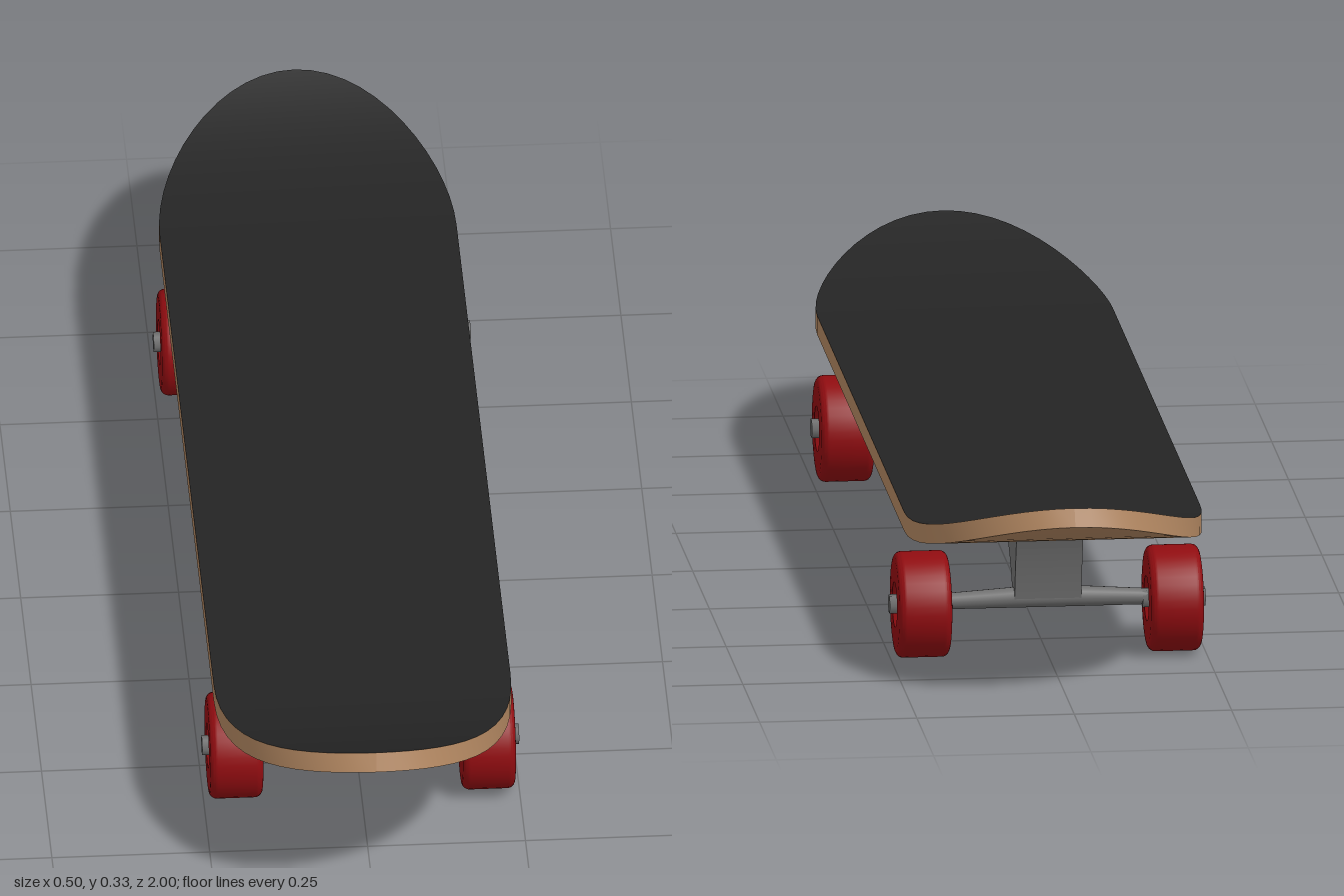
import * as THREE from 'three';
import { toCreasedNormals } from 'three/addons/utils/BufferGeometryUtils.js';

const material = (name, color) => {
  const m = new THREE.MeshStandardMaterial({ color });
  m.name = name;
  return m;
};

// Smooth band between two rails of equal length
function strip(a, b) {
  const n = a.length, index = [];
  for (let i = 0; i < n - 1; i++) index.push(i, i + 1, n + i, i + 1, n + i + 1, n + i);
  const g = new THREE.BufferGeometry().setFromPoints([...a, ...b]);
  g.setIndex(index);
  g.computeVertexNormals();
  return g;
}

export function createModel() {
  const wood = material('wood', 0xad835e);
  const grip = material('grip black', 0x242424);
  const metal = material('metal grey', 0x6f6f6f);
  const red = material('wheel red', 0x8f0c10);

  const model = new THREE.Group();
  model.name = 'skateboard';
  const add = (parent, name, geometry, mat, x = 0, y = 0, z = 0) => {
    const mesh = new THREE.Mesh(geometry, mat);
    mesh.name = name;
    mesh.position.set(x, y, z);
    parent.add(mesh);
    return mesh;
  };

  // Deck: straight middle, elliptical plan and upswept curve at both ends
  const straight = 0.65, tip = 0.35, halfWidth = 0.235, thickness = 0.031, steps = 14;
  const stations = [];
  for (let i = steps; i >= 0; i--) stations.push([-1, (i / steps) * Math.PI / 2]);
  for (let i = 0; i <= steps; i++) stations.push([1, (i / steps) * Math.PI / 2]);
  const rail = (side, top) => stations.map(([dir, a]) => {
    const d = tip * Math.sin(a);
    const n = new THREE.Vector2(-1.4 * d, 1).normalize().multiplyScalar(top ? thickness : 0);
    return new THREE.Vector3(
      side * halfWidth * Math.cos(a) - 0.002,
      0.218 + 0.7 * d * d + n.y,
      dir * (straight + d + n.x));
  });
  const topL = rail(1, true), topR = rail(-1, true), botL = rail(1, false), botR = rail(-1, false);
  const deck = new THREE.Group();
  deck.name = 'deck';
  model.add(deck);
  add(deck, 'gripSurface', strip(topR, topL), grip);
  add(deck, 'deckUnderside', strip(botL, botR), wood);
  add(deck, 'deckEdgeLeft', strip(topL, botL), wood);
  add(deck, 'deckEdgeRight', strip(botR, topR), wood);

  // Wheel: rounded tyre with a recess on each face, turned around x
  const r = 0.0845, half = 0.042, round = 0.012;
  const profile = [[0.03, -0.033], [0.036, -half]];
  for (const s of [-1, 1]) {
    for (let i = 0; i <= 5; i++) {
      const a = (s < 0 ? i - 5 : i) / 5 * Math.PI / 2;
      profile.push([r - round + round * Math.cos(a), s * (half - round) + round * Math.sin(a)]);
    }
  }
  profile.push([0.036, half], [0.03, 0.033]);
  const wheelGeo = toCreasedNormals(
    new THREE.LatheGeometry(profile.map(p => new THREE.Vector2(...p)), 40), 0.6).rotateZ(-Math.PI / 2);
  const rod = (r0, r1, length, sides = 20) =>
    new THREE.CylinderGeometry(r0, r1, length, sides).rotateZ(-Math.PI / 2);

  // Side profile of the hanger, drawn with z across and y up
  const hangerShape = (inset) => {
    const s = new THREE.Shape();
    s.moveTo(0.632, 0.207);
    s.quadraticCurveTo(0.612, 0.165, 0.598, 0.09);
    s.lineTo(0.568, 0.082);
    s.quadraticCurveTo(0.545 + inset * 0.4, 0.155, 0.412 + inset, 0.207);
    return s;
  };
  const slab = (shape, width) => new THREE.ExtrudeGeometry(shape, { depth: width, bevelEnabled: false, curveSegments: 10 })
    .translate(0, 0, -width / 2).rotateY(-Math.PI / 2);

  function makeTruck(name) {
    const truck = new THREE.Group();
    truck.name = name;
    const axleY = 0.0855, axleZ = 0.582;

    // Base plate with rounded corners
    const w = 0.071, l = 0.1325, c = 0.02;
    const plate = new THREE.Shape();
    plate.moveTo(-w + c, -l);
    plate.lineTo(w - c, -l);
    plate.quadraticCurveTo(w, -l, w, -l + c);
    plate.lineTo(w, l - c);
    plate.quadraticCurveTo(w, l, w - c, l);
    plate.lineTo(-w + c, l);
    plate.quadraticCurveTo(-w, l, -w, l - c);
    plate.lineTo(-w, -l + c);
    plate.quadraticCurveTo(-w, -l, -w + c, -l);
    add(truck, 'basePlate', new THREE.ExtrudeGeometry(plate, { depth: 0.015, bevelEnabled: false })
      .rotateX(-Math.PI / 2), metal, 0, 0.204, 0.5225);

    // Hanger: two curved cheeks, a recessed web and the kingpin between them
    add(truck, 'hangerWeb', slab(hangerShape(0.12), 0.08), metal);
    const pin = add(truck, 'kingpin', new THREE.CylinderGeometry(0.01, 0.01, 0.07, 12), metal, 0, 0.18, 0.515);
    pin.rotation.x = 0.45;
    const nut = add(truck, 'kingpinNut', new THREE.CylinderGeometry(0.016, 0.016, 0.014, 6), metal, 0, 0.155, 0.503);
    nut.rotation.x = 0.45;

    // Axle core
    add(truck, 'axleCore', rod(0.0165, 0.0165, 0.1), metal, 0, 0.0915, axleZ);

    for (const side of [1, -1]) {
      add(truck, 'hangerCheek', slab(hangerShape(0), 0.014), metal, side * 0.046, 0, 0);
      // Tapered arm whose underside stays level
      const arm = rod(0.0125, 0.0165, 0.12);
      if (side < 0) arm.rotateY(Math.PI);
      const armMesh = add(truck, 'axleArm', arm, metal, side * 0.108, 0.0895, axleZ);
      armMesh.rotation.z = -side * 0.033;
      // Wheel, hub and axle nut
      const x = side * 0.2;
      add(truck, 'wheel', wheelGeo, red, x, axleY - 0.001, axleZ);
      add(truck, 'hub', rod(0.032, 0.032, 0.068, 24), metal, x, axleY, axleZ);
      add(truck, 'axleNut', rod(0.016, 0.016, 0.1, 6), metal, side * 0.201, axleY, axleZ);
    }
    return truck;
  }

  const front = makeTruck('frontTruck');
  const back = makeTruck('backTruck');
  back.rotation.y = Math.PI;
  front.position.z = back.position.z = -0.01;
  model.add(front, back);
  return model;
}
